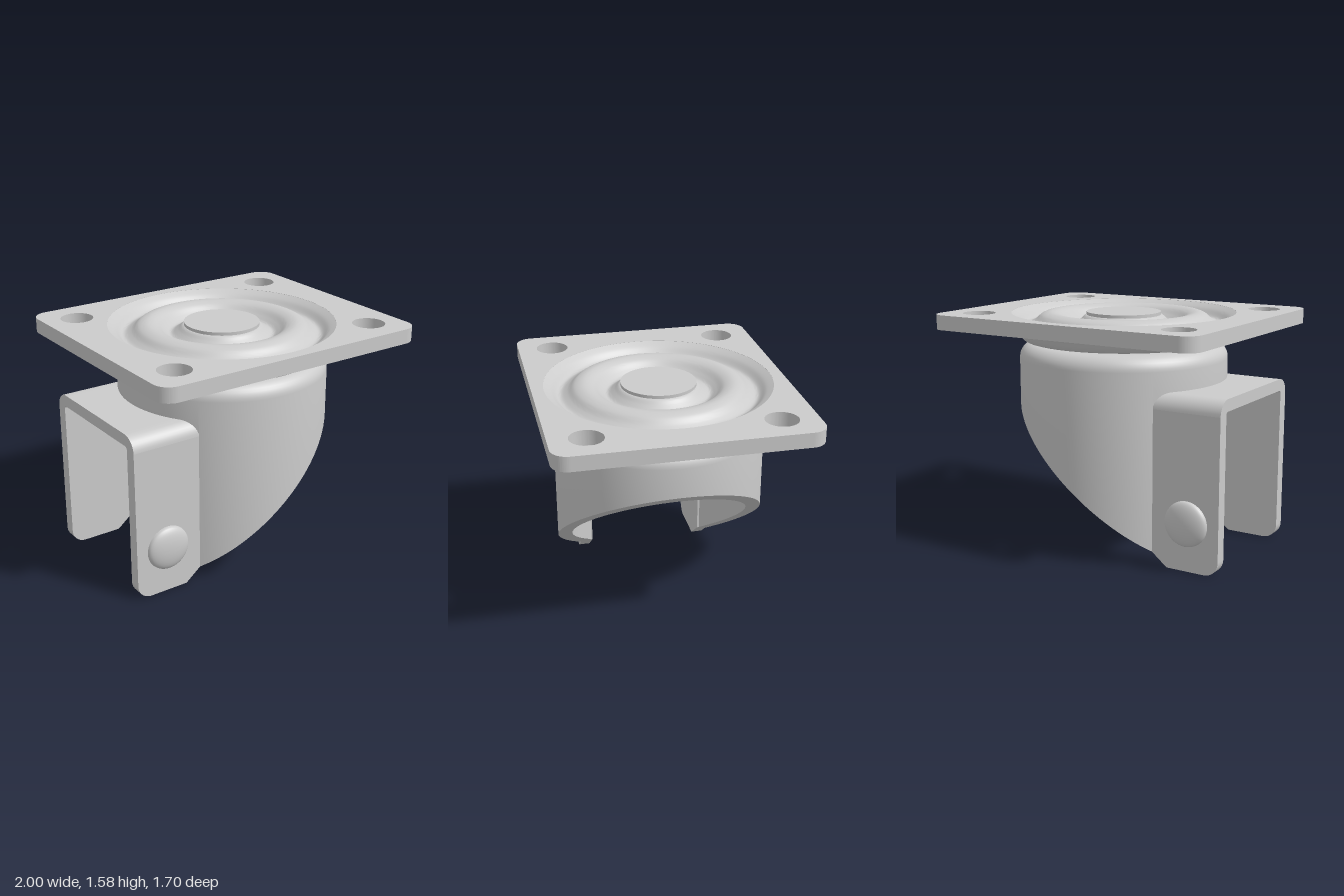
import * as THREE from 'three';
import { toCreasedNormals } from 'three/addons/utils/BufferGeometryUtils.js';

const mat = new THREE.MeshStandardMaterial({ color: 0xcccccc });
const V = (x, y) => new THREE.Vector2(x, y);

function add(group, name, geometry, crease = 0.6) {
  const mesh = new THREE.Mesh(toCreasedNormals(geometry, crease), mat);
  mesh.name = name;
  group.add(mesh);
  return mesh;
}

// Mounting plate: rounded rectangle with four bolt holes and a central opening
function plateGeometry() {
  const w = 1, d = 0.85, r = 0.11;
  const s = new THREE.Shape();
  s.absarc(w - r, d - r, r, 0, Math.PI / 2);
  s.absarc(-w + r, d - r, r, Math.PI / 2, Math.PI);
  s.absarc(-w + r, -d + r, r, Math.PI, Math.PI * 1.5);
  s.absarc(w - r, -d + r, r, Math.PI * 1.5, Math.PI * 2);
  const hole = (x, y, rad) => s.holes.push(new THREE.Path().absarc(x, y, rad, 0, Math.PI * 2, true));
  for (const x of [-0.77, 0.77]) for (const y of [-0.61, 0.61]) hole(x, y, 0.11);
  hole(0, 0, 0.768);
  const g = new THREE.ExtrudeGeometry(s, { depth: 0.1, bevelEnabled: false, curveSegments: 48 });
  return g.rotateX(-Math.PI / 2).translate(0, 1.48, 0);
}

// Pressed bearing dish: outer flare below, raised ring between two grooves on top
function dishGeometry() {
  const under = new THREE.SplineCurve([V(0.66, 1.39), V(0.685, 1.398), V(0.71, 1.425), V(0.735, 1.46), V(0.77, 1.482)]);
  const top = new THREE.SplineCurve([
    V(0.77, 1.58), V(0.72, 1.55), V(0.665, 1.505), V(0.61, 1.525), V(0.56, 1.565), V(0.5, 1.58),
    V(0.44, 1.565), V(0.39, 1.525), V(0.345, 1.5), V(0.3, 1.525), V(0.265, 1.555), V(0.24, 1.56),
  ]);
  return new THREE.LatheGeometry([V(0, 1.39), ...under.getPoints(16), ...top.getPoints(66)], 96);
}

// Fork crown: filleted cup sheared off by a sloping plane, open behind between the legs
function crownGeometry() {
  const R = 0.715, r = 0.615, gapStart = Math.PI - 0.755;
  const cut = x => 1.07 + (x - R) * 0.795;
  const columns = [];
  const sweep = (from, to, n, open) => {
    for (let i = 0; i <= n; i++) columns.push([from + (to - from) * i / n, open]);
  };
  sweep(-gapStart, gapStart, 80, false);
  sweep(gapStart, 2 * Math.PI - gapStart, 24, true);

  const section = (t, open) => {
    const low = rad => (open ? 1.06 : cut(rad * Math.cos(t)));
    const pts = [[0, 1.375]];
    for (let k = 0; k <= 8; k++) {
      const a = Math.PI / 2 * (1 - k / 8);
      pts.push([r + 0.1 * Math.cos(a), 1.275 + 0.1 * Math.sin(a)]);
    }
    pts.push([R, low(R)], [r, low(r)], [r, 1.275], [0, 1.275]);
    return pts;
  };

  const pos = [], index = [];
  let m = 0;
  for (const [t, open] of columns) {
    const pts = section(t, open);
    m = pts.length;
    for (const [rad, y] of pts) pos.push(rad * Math.cos(t), y, rad * Math.sin(t));
  }
  const n = columns.length;
  for (let i = 0; i < n; i++) {
    const i2 = (i + 1) % n;
    for (let j = 0; j < m - 1; j++) {
      const a = i * m + j, b = i2 * m + j;
      index.push(a, b, a + 1, b, b + 1, a + 1);
    }
  }
  const g = new THREE.BufferGeometry();
  g.setAttribute('position', new THREE.Float32BufferAttribute(pos, 3));
  g.setIndex(index);
  return g;
}

// Axle leg: flat plate with a rounded rear corner and a sloping front corner
function legGeometry() {
  const s = new THREE.Shape();
  s.moveTo(-1, 1.04);
  s.lineTo(-1, 0.1);
  s.absarc(-0.9, 0.1, 0.1, Math.PI, Math.PI * 1.5);
  s.lineTo(-0.63, 0);
  s.lineTo(-0.46, 0.136);
  s.lineTo(-0.46, 1.04);
  return new THREE.ExtrudeGeometry(s, { depth: 0.08, bevelEnabled: false, curveSegments: 12 });
}

// Bridge joining the legs: arch with rounded shoulders whose front follows the crown
function bridgeGeometry() {
  const pts = [];
  const arc = (cx, cy, rad, a0, a1) => {
    for (let k = 0; k <= 8; k++) {
      const a = a0 + (a1 - a0) * k / 8;
      pts.push(V(cx + rad * Math.cos(a), cy + rad * Math.sin(a)));
    }
  };
  const flat = (from, to, y) => {
    for (let k = 1; k < 16; k++) pts.push(V(from + (to - from) * k / 16, y));
  };
  const q = Math.PI / 2;
  arc(0.39, 1.04, 0.1, 0, q);
  flat(0.39, -0.39, 1.14);
  arc(-0.39, 1.04, 0.1, q, Math.PI);
  arc(-0.39, 1.04, 0.02, Math.PI, q);
  flat(-0.39, 0.39, 1.06);
  arc(0.39, 1.04, 0.02, q, 0);
  const g = new THREE.ExtrudeGeometry(new THREE.Shape(pts), { depth: 1, bevelEnabled: false });
  g.rotateY(Math.PI / 2);
  const p = g.attributes.position;
  for (let i = 0; i < p.count; i++) {
    const front = -Math.sqrt(0.67 ** 2 - p.getZ(i) ** 2);
    p.setX(i, THREE.MathUtils.lerp(-1, front, p.getX(i)));
  }
  return g;
}

// Domed rivet head with a short rim, pointing along +z
function rivetGeometry() {
  const pts = [V(0.153, -0.01), V(0.15, 0.008)];
  for (let k = 1; k <= 10; k++) {
    const a = q90 * k / 10;
    pts.push(V(0.15 * Math.cos(a), 0.008 + 0.05 * Math.sin(a)));
  }
  return new THREE.LatheGeometry(pts, 40).rotateX(q90);
}
const q90 = Math.PI / 2;

export function createModel() {
  const model = new THREE.Group();
  model.name = 'swivelCasterFork';

  add(model, 'mountingPlate', plateGeometry());
  add(model, 'bearingDish', dishGeometry());
  add(model, 'pivotCap', new THREE.CylinderGeometry(0.255, 0.255, 0.1, 64).translate(0, 1.53, 0));
  add(model, 'pivotStem', new THREE.CylinderGeometry(0.235, 0.235, 0.04, 48).translate(0, 1.383, 0));
  add(model, 'forkCrown', crownGeometry(), 0.5);
  add(model, 'forkBridge', bridgeGeometry(), 0.5);

  for (const side of [-1, 1]) {
    const name = side > 0 ? 'front' : 'back';
    add(model, name + 'Leg', legGeometry()).position.z = side > 0 ? 0.41 : -0.49;
    const rivet = add(model, name + 'Rivet', rivetGeometry(), 0.9);
    rivet.position.set(-0.77, 0.32, side * 0.49);
    if (side < 0) rivet.rotation.y = Math.PI;
  }
  return model;
}
